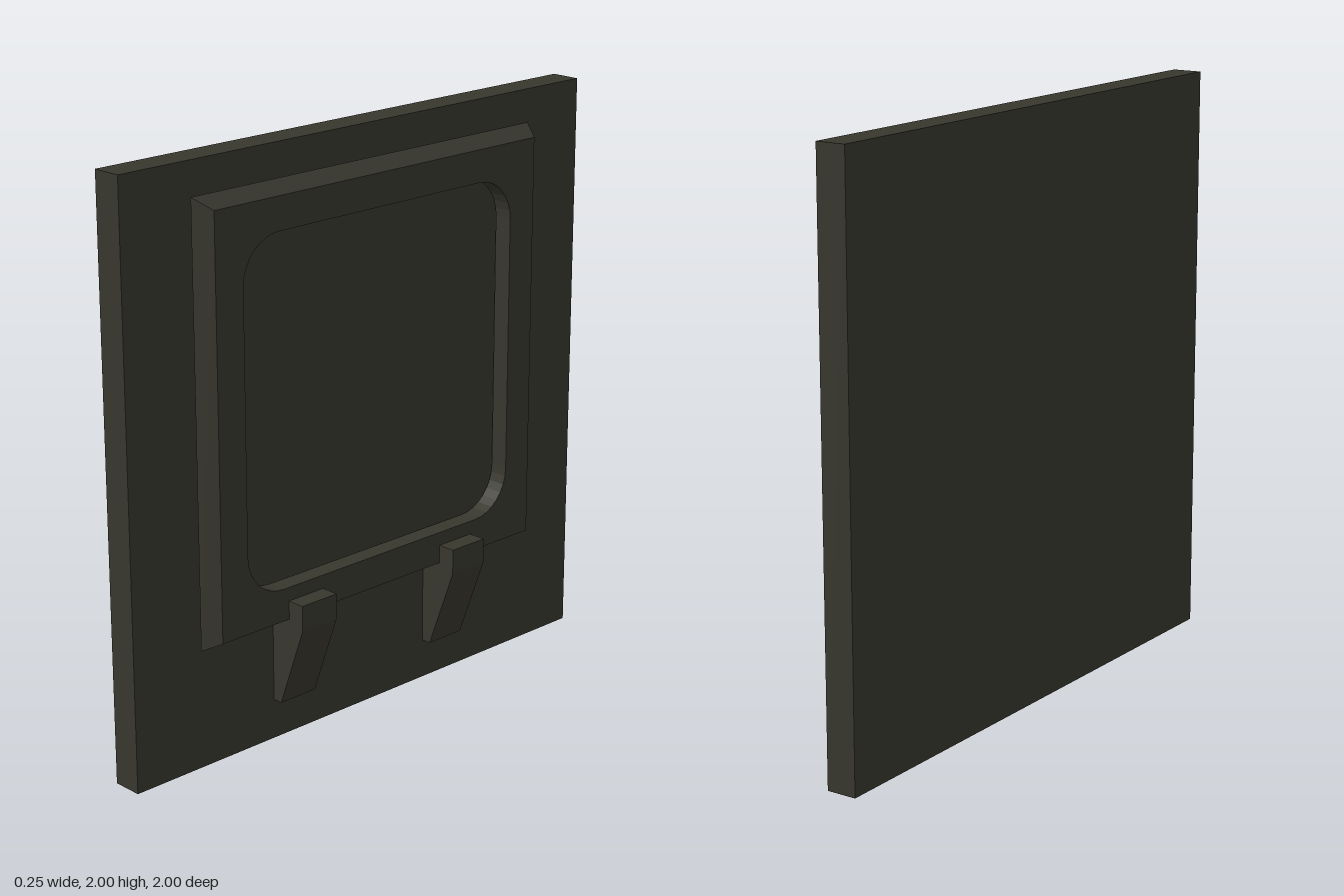
import * as THREE from 'three';

// Extrude a shape and recompute flat normals
function extrude(shape, depth) {
  return new THREE.ExtrudeGeometry(shape, { depth, bevelEnabled: false, curveSegments: 4 });
}

// Rounded rectangle path centred on the origin
function roundedHole(h, r) {
  const p = new THREE.Path();
  p.moveTo(h - r, -h);
  p.absarc(h - r, -h + r, r, -Math.PI / 2, 0, false);
  p.absarc(h - r, h - r, r, 0, Math.PI / 2, false);
  p.absarc(-h + r, h - r, r, Math.PI / 2, Math.PI, false);
  p.absarc(-h + r, -h + r, r, Math.PI, Math.PI * 1.5, false);
  p.closePath();
  return p;
}

export function createModel() {
  const group = new THREE.Group();
  const darkOlive = new THREE.MeshStandardMaterial({ color: 0x38372e, flatShading: true });
  darkOlive.name = 'darkOlive';

  function add(name, geometry, x, y, z) {
    const mesh = new THREE.Mesh(geometry, darkOlive);
    mesh.name = name;
    mesh.position.set(x, y, z);
    group.add(mesh);
    return mesh;
  }

  // Back panel
  add('backPanel', new THREE.BoxGeometry(0.105, 2, 2), -0.0725, 1, 0);

  // Frame with a rounded opening; its outer edge tapers toward the face
  const half = 0.738, face = 0.703, depth = 0.065;
  const outline = new THREE.Shape([
    new THREE.Vector2(-half, -half), new THREE.Vector2(half, -half),
    new THREE.Vector2(half, half), new THREE.Vector2(-half, half),
  ]);
  outline.holes.push(roundedHole(0.592, 0.15));
  const frame = extrude(outline, depth);
  const pos = frame.attributes.position;
  for (let i = 0; i < pos.count; i++) {
    if (pos.getZ(i) > depth / 2) {
      pos.setX(i, THREE.MathUtils.clamp(pos.getX(i), -face, face));
      pos.setY(i, THREE.MathUtils.clamp(pos.getY(i), -face, face));
    }
  }
  frame.computeVertexNormals();
  frame.rotateY(Math.PI / 2);
  add('frame', frame, -0.006, 1.152, 0);

  // Two support brackets under the frame
  const bracket = extrude(new THREE.Shape([
    new THREE.Vector2(-0.021, 0.138), new THREE.Vector2(0.015, 0.138),
    new THREE.Vector2(0.122, 0.425), new THREE.Vector2(0.122, 0.513),
    new THREE.Vector2(-0.021, 0.513),
  ]), 0.15);
  for (const side of [1, -1]) {
    add(side > 0 ? 'leftBracket' : 'rightBracket', bracket, 0, 0, side * 0.345 - 0.075);
  }

  return group;
}
